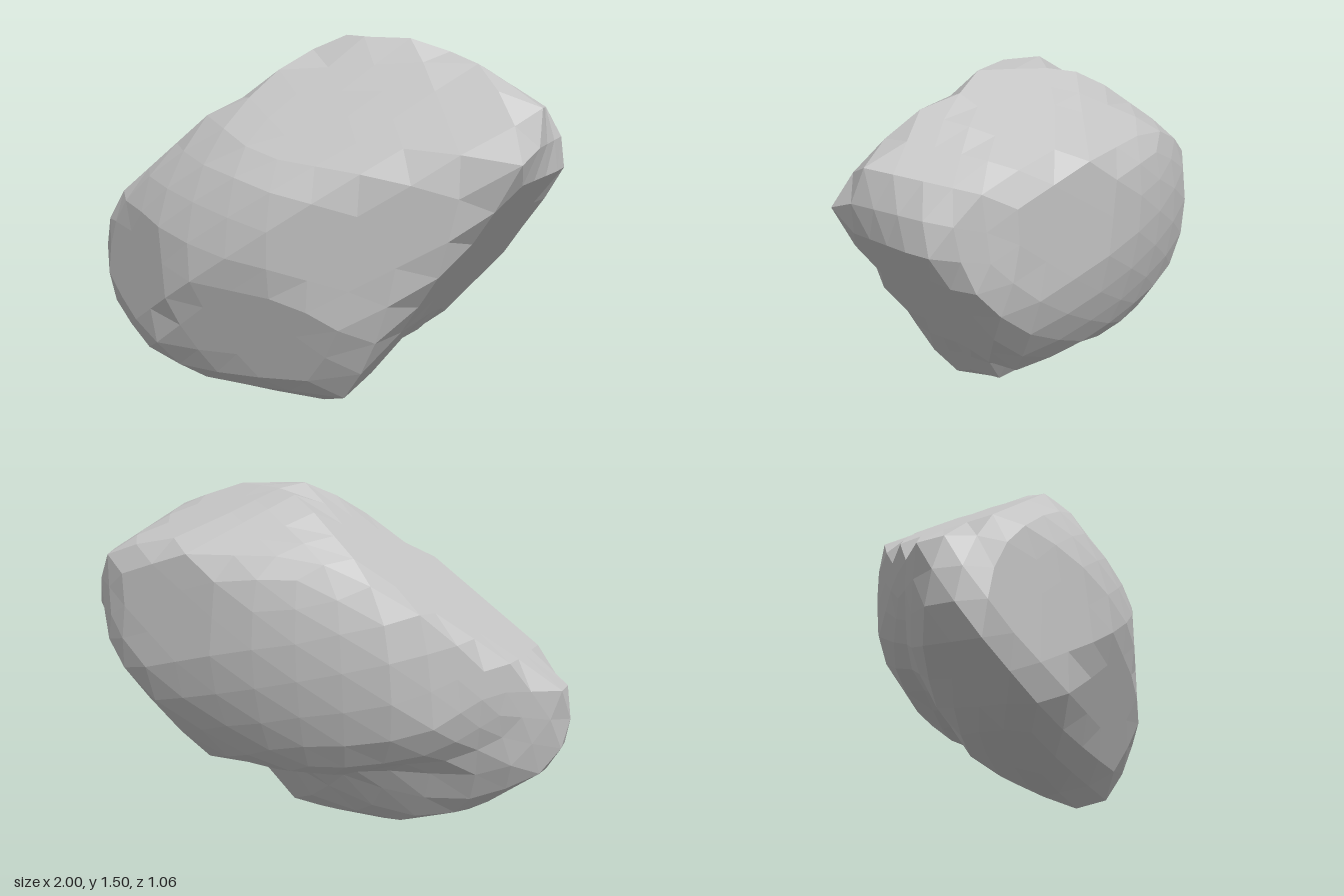
import * as THREE from 'three';

// Flat chipped faces: outward normal and a point on the face, from the rock's centre
const CHIPS = [
  [[0.04, 0.743, 1], [0.32, 0.75, 0.04]],    // big sloping front face
  [[-0.76, 1, -0.15], [0, 0.667, 0]],        // upper left slope
  [[1, -0.72, 0.2], [0.9, 0.2, 0.34]],       // right undercut
  [[1, 0.08, 0.05], [1, 0.2, -0.18]],        // right tip
  [[1, 0, -0.94], [0.84, 0, -0.35]],         // right tip, back
  [[0.3, 0, -1], [0.6, 0, -0.43]],           // back right wall
  [[0, 0.27, -0.22], [0, 0.69, -0.2]],       // back of the crown
  [[0, 1, -0.25], [0, 0.75, 0.03]],          // crown
  [[0.25, 1, -0.4], [0.5, 0.71, 0.06]],      // crown, right
  [[0.6, 1, -0.2], [0.86, 0.55, 0.15]],      // upper right shoulder
  [[-0.62, 0, -0.78], [-0.93, 0, -0.06]],    // back left shoulder
  [[0.2, 0, 1], [0.6, 0, 0.4]],              // front right wall
  [[-0.55, 0, 1], [-0.6, 0, 0.41]],          // front left wall
  [[0, -0.32, 1], [0, -0.64, 0.383]],        // lower front
  [[0, -1, 0.93], [0, -0.64, 0.39]],         // front of the foot
  [[0.08, -1, -0.3], [0, -0.785, 0.25]],     // foot
  [[-0.26, -1, 0], [-0.5, -0.695, 0]],       // lower left
  [[-0.7, -1, 0], [-0.75, -0.58, 0]],        // left end, below
].map(([n, p]) => {
  const normal = new THREE.Vector3(...n);
  return { normal, offset: normal.dot(new THREE.Vector3(...p)) };
});

// Fuller corners: position, strength and spread
const CORNERS = [
  [[0.88, 0.3, 0.34], 0.28, 0.1],     // front right
  [[0.27, -0.7, 0.3], 0.16, 0.12],    // foot, right
  [[0.6, 0.68, 0.08], 0.12, 0.15],    // crown, right
  [[0.2, 0.75, 0.08], 0.08, 0.08],    // crown
  [[0.75, -0.12, -0.3], 0.06, 0.08],  // back right
].map(([p, gain, spread]) => ({ dir: new THREE.Vector3(...p).normalize(), gain, spread }));

const GROOVE = new THREE.Vector3(-0.24, -0.29, 1);

// Maps a point of the unit sphere onto the rock
function shapePoint(u) {
  // leaning ellipsoid
  const p = new THREE.Vector3(
    u.x,
    0.22 * u.x + 0.7325 * u.y,
    -0.05 * u.x - 0.1215 * u.y + 0.5136 * u.z
  ).multiplyScalar(1.01);
  const dir = p.clone().normalize();
  for (const { dir: corner, gain, spread } of CORNERS) {
    p.multiplyScalar(1 + gain * Math.exp(-dir.distanceToSquared(corner) / spread));
  }
  // chip off the flat faces
  for (const { normal, offset } of CHIPS) {
    const d = normal.dot(p);
    if (d > offset) p.multiplyScalar(offset / d);
  }
  // groove between the two lobes, along the lower back, fading towards the right
  const side = GROOVE.dot(dir) - 0.06;
  const across = side / (side > 0 ? 0.22 : 0.34);
  const below = THREE.MathUtils.smoothstep(-dir.y, 0.1, 0.8);
  const fade = 1 - THREE.MathUtils.smoothstep(dir.x, 0.45, 0.75);
  return p.multiplyScalar(1 - 0.25 * below * fade * Math.exp(-across * across));
}

export function createModel() {
  const group = new THREE.Group();
  group.name = 'boulder';

  const stone = new THREE.MeshStandardMaterial({ color: 0xc4c4c4, flatShading: true });
  stone.name = 'grey stone';

  const geometry = new THREE.IcosahedronGeometry(1, 5);
  const pos = geometry.attributes.position;
  const v = new THREE.Vector3();
  for (let i = 0; i < pos.count; i++) {
    const p = shapePoint(v.fromBufferAttribute(pos, i));
    pos.setXYZ(i, p.x, p.y, p.z);
  }

  // stand it on the ground
  geometry.translate(0, 0.78, 0);
  geometry.computeVertexNormals();

  const rock = new THREE.Mesh(geometry, stone);
  rock.name = 'rock';
  group.add(rock);
  return group;
}
